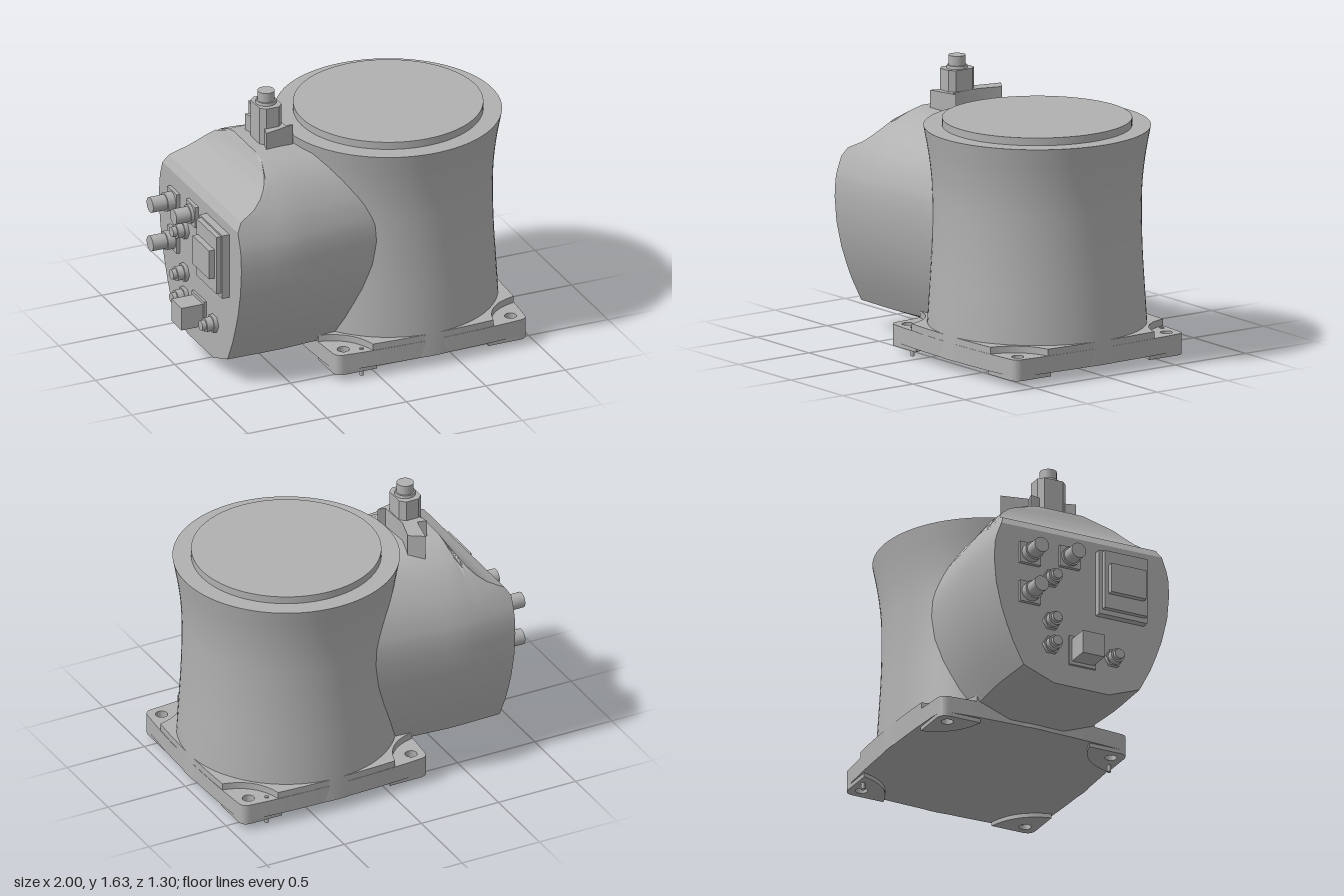
import * as THREE from 'three';
import { toCreasedNormals } from 'three/addons/utils/BufferGeometryUtils.js';

const grey = new THREE.MeshStandardMaterial({ color: 0xb0b0b0 });
grey.name = 'cast grey';

const CX = 0.345; // axis of the column and centre of the base

export function createModel() {
  const root = new THREE.Group();
  root.name = 'robotBase';

  const add = (name, geo, x = 0, y = 0, z = 0, parent = root) => {
    const m = new THREE.Mesh(geo, grey);
    m.name = name;
    m.position.set(x, y, z);
    parent.add(m);
    return m;
  };
  // Extrudes a plan shape (shape y = -z) upward from y0 to y1
  const slab = (shape, y0, y1) => {
    const g = new THREE.ExtrudeGeometry(shape, { depth: y1 - y0, bevelEnabled: false, curveSegments: 16 });
    g.rotateX(-Math.PI / 2).translate(0, y0, 0);
    return toCreasedNormals(g, 0.5);
  };
  const hole = (x, y, r) => {
    const p = new THREE.Path();
    p.absarc(x, y, r, 0, Math.PI * 2, true);
    return p;
  };
  const corners = [[1, 1], [-1, 1], [-1, -1], [1, -1]];

  // Column with a narrow waist, and its top disc
  const waist = new THREE.SplineCurve([
    [0.635, 0.065], [0.63, 0.2], [0.618, 0.4], [0.606, 0.6], [0.6, 0.8], [0.602, 1.0], [0.62, 1.18], [0.652, 1.36],
  ].map(([r, y]) => new THREE.Vector2(r, y))).getPoints(32);
  const columnProfile = [new THREE.Vector2(0, 0.065), ...waist, new THREE.Vector2(0, 1.36)];
  add('column', toCreasedNormals(new THREE.LatheGeometry(columnProfile, 96), 0.5), CX);
  add('topDisc', toCreasedNormals(new THREE.CylinderGeometry(0.545, 0.545, 0.05, 96), 0.5), CX, 1.38);

  // Base plate: square with bowed sides and rounded corners
  const h = 0.605, r = 0.06, bow = 0.655;
  const plate = new THREE.Shape();
  plate.moveTo(h, -h + r);
  plate.quadraticCurveTo(bow, 0, h, h - r);
  plate.quadraticCurveTo(h, h, h - r, h);
  plate.quadraticCurveTo(0, bow, -h + r, h);
  plate.quadraticCurveTo(-h, h, -h, h - r);
  plate.quadraticCurveTo(-bow, 0, -h, -h + r);
  plate.quadraticCurveTo(-h, -h, -h + r, -h);
  plate.quadraticCurveTo(0, -bow, h - r, -h);
  plate.quadraticCurveTo(h, -h, h, -h + r);
  for (const [sx, sy] of corners) plate.holes.push(hole(sx * 0.527, sy * 0.53, 0.035));
  add('basePlate', slab(plate, 0.065, 0.165), CX);

  // Raised deck, scooped out around each bolt hole
  const deck = new THREE.Shape();
  deck.moveTo(0.615, -0.38);
  deck.quadraticCurveTo(0.642, 0, 0.615, 0.38);
  deck.quadraticCurveTo(0.42, 0.42, 0.38, 0.615);
  deck.quadraticCurveTo(0, 0.642, -0.38, 0.615);
  deck.quadraticCurveTo(-0.42, 0.42, -0.615, 0.38);
  deck.quadraticCurveTo(-0.642, 0, -0.615, -0.38);
  deck.quadraticCurveTo(-0.42, -0.42, -0.38, -0.615);
  deck.quadraticCurveTo(0, -0.642, 0.38, -0.615);
  deck.quadraticCurveTo(0.42, -0.42, 0.615, -0.38);
  add('baseDeck', slab(deck, 0.165, 0.205), CX);

  // Corner feet
  const foot = new THREE.Shape();
  foot.moveTo(h, 0.35);
  foot.lineTo(h, h - r);
  foot.quadraticCurveTo(h, h, h - r, h);
  foot.lineTo(0.35, h);
  foot.quadraticCurveTo(0.4, 0.4, h, 0.35);
  foot.holes.push(hole(0.527, 0.53, 0.035));
  const footGeo = slab(foot, 0.04, 0.065);
  for (let i = 0; i < 4; i++) add('foot', footGeo, CX).rotation.y = i * Math.PI / 2;

  // Locating pins
  for (const [x, z] of [[-0.085, 0.57], [0.775, -0.57]])
    add('locatingPin', new THREE.CylinderGeometry(0.012, 0.012, 0.172, 16), x, 0.086, z);

  add('rearHousing', housingGeometry());

  // Bracket and upright connector on top of the housing
  const bracket = new THREE.Shape([
    [-0.49, -0.145], [-0.3, -0.1], [-0.345, -0.09], [-0.355, 0.1], [-0.315, 0.24],
    [-0.4, 0.295], [-0.435, 0.13], [-0.49, 0.145], [-0.47, 0.07], [-0.47, -0.07],
  ].map(([x, y]) => new THREE.Vector2(x, y)));
  add('connectorBracket', slab(bracket, 1.27, 1.43));
  const post = new THREE.Shape([
    [-0.07, -0.06], [-0.04, -0.09], [0.04, -0.09], [0.07, -0.06],
    [0.07, 0.06], [0.04, 0.09], [-0.04, 0.09], [-0.07, 0.06],
  ].map(([x, y]) => new THREE.Vector2(x, y)));
  add('connectorPost', slab(post, 1.29, 1.555), -0.425);
  add('connectorCollar', new THREE.CylinderGeometry(0.058, 0.062, 0.02, 32), -0.425, 1.562);
  add('connectorPlug', new THREE.CylinderGeometry(0.049, 0.049, 0.08, 32), -0.425, 1.59);

  // Connector panel on the end face
  const panel = new THREE.Group();
  panel.name = 'connectorPanel';
  root.add(panel);
  const box = (name, x0, x1, y0, y1, z0, z1) =>
    add(name, new THREE.BoxGeometry(x1 - x0, y1 - y0, z1 - z0), (x0 + x1) / 2, (y0 + y1) / 2, (z0 + z1) / 2, panel);
  const barrel = (name, x0, x1, rad, y, z, n = 28) =>
    add(name, new THREE.CylinderGeometry(rad, rad, x1 - x0, n).rotateZ(Math.PI / 2), (x0 + x1) / 2, y, z, panel);

  box('powerFrame', -0.885, -0.83, 0.57, 0.97, 0.09, 0.4);
  box('powerRim', -0.915, -0.88, 0.6, 0.96, 0.11, 0.385);
  box('powerPlug', -0.95, -0.91, 0.69, 0.87, 0.135, 0.36);
  for (const [y, z, end] of [[0.865, -0.34, -1], [0.62, -0.34, -1], [0.895, -0.085, -0.97]]) {
    box('socketFlange', -0.862, -0.83, y - 0.065, y + 0.065, z - 0.065, z + 0.065);
    barrel('socketNut', end + 0.09, -0.85, 0.056, y, z);
    barrel('socketBarrel', end, end + 0.1, 0.046, y, z);
  }
  for (const [y, z] of [[0.74, -0.2], [0.47, -0.2], [0.32, -0.2], [0.32, 0.2]]) {
    barrel('portNut', -0.865, -0.83, 0.055, y, z, 6);
    barrel('portBody', -0.905, -0.86, 0.042, y, z);
    barrel('portTip', -0.93, -0.9, 0.03, y, z);
  }
  box('squareFlange', -0.855, -0.83, 0.225, 0.405, -0.085, 0.085);
  box('squareConnector', -0.99, -0.85, 0.245, 0.385, -0.07, 0.07);
  return root;
}

// Housing lofted through cross-sections along x, with a concave scoop at the top rear
function housingGeometry() {
  const profile = [ // height, half width
    [0.09, 0.18], [0.165, 0.38], [0.3, 0.45], [0.4, 0.49], [0.5, 0.525], [0.65, 0.56], [0.8, 0.573], [0.9, 0.567],
    [0.95, 0.555], [1.03, 0.525], [1.1, 0.488], [1.2, 0.41], [1.27, 0.325], [1.31, 0.23], [1.33, 0.15],
  ];
  const sections = [ // x, top height, width scale
    [-0.84, 1.03, 0.985], [-0.81, 1.08, 0.988], [-0.76, 1.105, 0.99], [-0.71, 1.13, 0.993], [-0.66, 1.17, 0.996],
    [-0.62, 1.215, 1], [-0.59, 1.265, 1], [-0.56, 1.33, 1], [-0.5, 1.329, 1], [-0.4, 1.32, 0.98], [-0.26, 1.3, 0.95],
    [-0.08, 1.29, 0.917], [0.1, 1.28, 0.885],
  ];
  const width = (y) => {
    let k = 1;
    while (k < profile.length - 1 && profile[k][0] < y) k++;
    const [y0, w0] = profile[k - 1], [y1, w1] = profile[k];
    return w0 + (w1 - w0) * (y - y0) / (y1 - y0);
  };
  const pos = [], index = [], n = profile.length * 2;
  for (const [x, top, s] of sections) {
    const half = profile.map(([y]) => {
      const yy = y <= 0.95 ? y : 0.95 + (y - 0.95) / 0.38 * (top - 0.95);
      return [yy, width(yy) * s];
    });
    for (const [y, w] of half) pos.push(x, y, w);
    for (const [y, w] of half.reverse()) pos.push(x, y, -w);
  }
  for (let i = 0; i < sections.length - 1; i++)
    for (let j = 0; j < n; j++) {
      const a = i * n + j, b = i * n + (j + 1) % n;
      index.push(a, a + n, b, b, a + n, b + n);
    }
  // End face
  const c = pos.length / 3;
  pos.push(-0.84, 0.6, 0);
  for (let j = 0; j < n; j++) index.push(c, j, (j + 1) % n);
  const g = new THREE.BufferGeometry();
  g.setAttribute('position', new THREE.Float32BufferAttribute(pos, 3));
  g.setIndex(index);
  return toCreasedNormals(g, 0.5);
}
